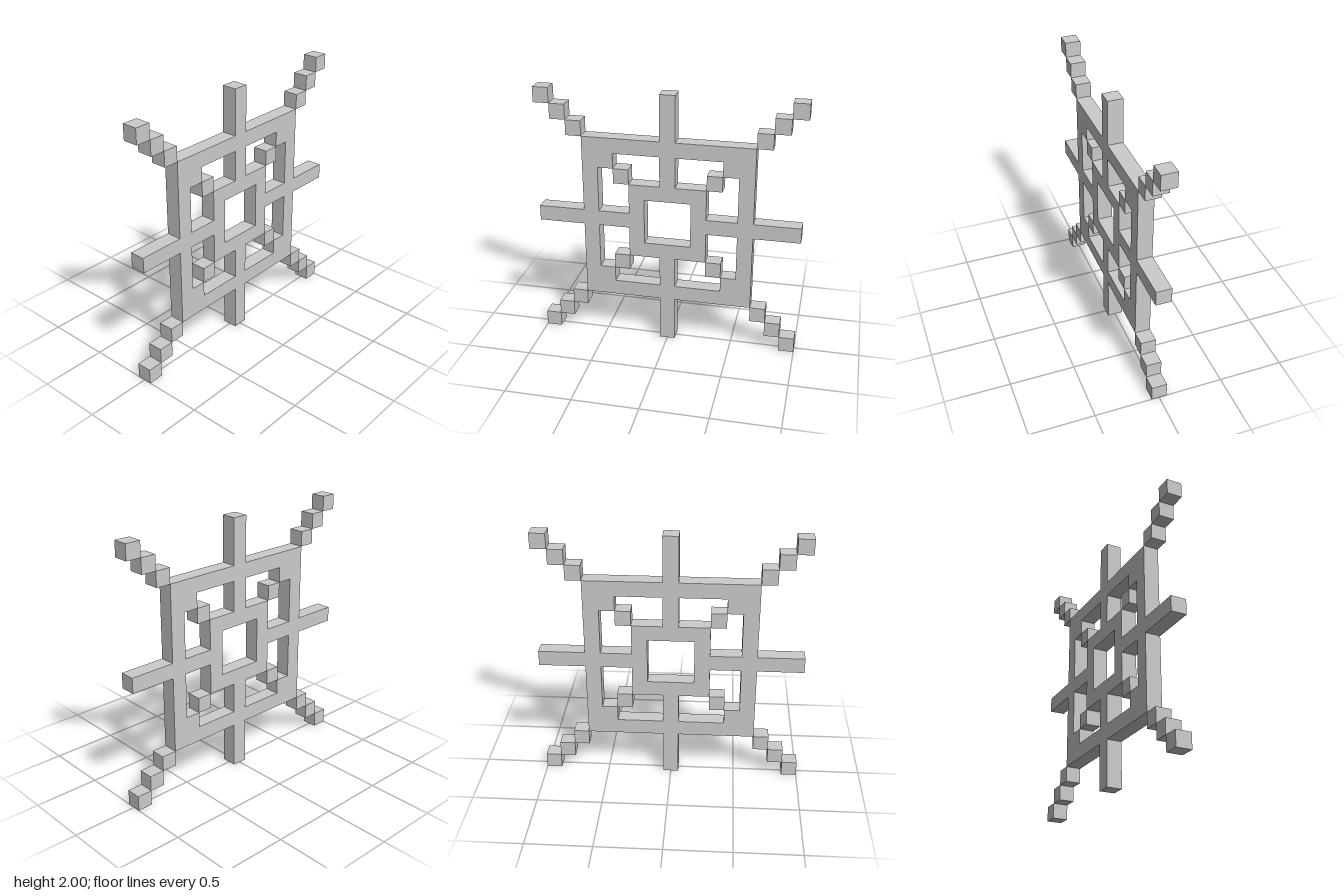
import * as THREE from 'three';

// The snowflake lies on a 17 x 17 grid of square cells
const CELL = 2 / 17;
const QUADRANTS = [[1, 1], [-1, 1], [-1, -1], [1, -1]];

const toPoints = (list, sx = 1, sy = 1) =>
  list.map(([x, y]) => new THREE.Vector2(x * sx * CELL, y * sy * CELL));

export function createModel() {
  const model = new THREE.Group();
  model.name = 'snowflake';
  const grey = new THREE.MeshStandardMaterial({ color: 0xcccccc });
  grey.name = 'light grey';

  // Lattice: square frame with four spokes, repeated by quarter turns
  const outline = [];
  for (let i = 0; i < 4; i++) {
    for (const [x, y] of [[5.5, -5.5], [5.5, -0.5], [8.5, -0.5], [8.5, 0.5], [5.5, 0.5]]) {
      outline.push([[x, y], [-y, x], [-x, -y], [y, -x]][i]);
    }
  }
  const shape = new THREE.Shape(toPoints(outline));

  // Central opening and one stepped window per quadrant
  shape.holes.push(new THREE.Path(toPoints(QUADRANTS, 1.5, 1.5)));
  const window = [[0.5, 2.5], [0.5, 4.5], [3.5, 4.5], [3.5, 3.5],
    [4.5, 3.5], [4.5, 0.5], [2.5, 0.5], [2.5, 2.5]];
  for (const [sx, sy] of QUADRANTS) {
    shape.holes.push(new THREE.Path(toPoints(window, sx, sy)));
  }
  const latticeGeometry = new THREE.ExtrudeGeometry(shape, { depth: CELL, bevelEnabled: false });
  latticeGeometry.translate(0, 0, -CELL / 2);
  const lattice = new THREE.Mesh(latticeGeometry, grey);
  lattice.name = 'lattice';
  lattice.position.y = 1;
  model.add(lattice);

  // Diagonal cubes: one inside each window, three beyond each frame corner
  const cube = new THREE.BoxGeometry(CELL, CELL, CELL);
  for (const [sx, sy] of QUADRANTS) {
    const arm = new THREE.Group();
    arm.name = `${sy > 0 ? 'upper' : 'lower'}${sx > 0 ? 'Left' : 'Right'}Arm`;
    for (const step of [3, 6, 7, 8]) {
      const block = new THREE.Mesh(cube, grey);
      block.name = step === 3 ? 'innerCube' : 'outerCube';
      block.position.set(sx * step * CELL, 1 + sy * step * CELL, 0);
      arm.add(block);
    }
    model.add(arm);
  }
  return model;
}
